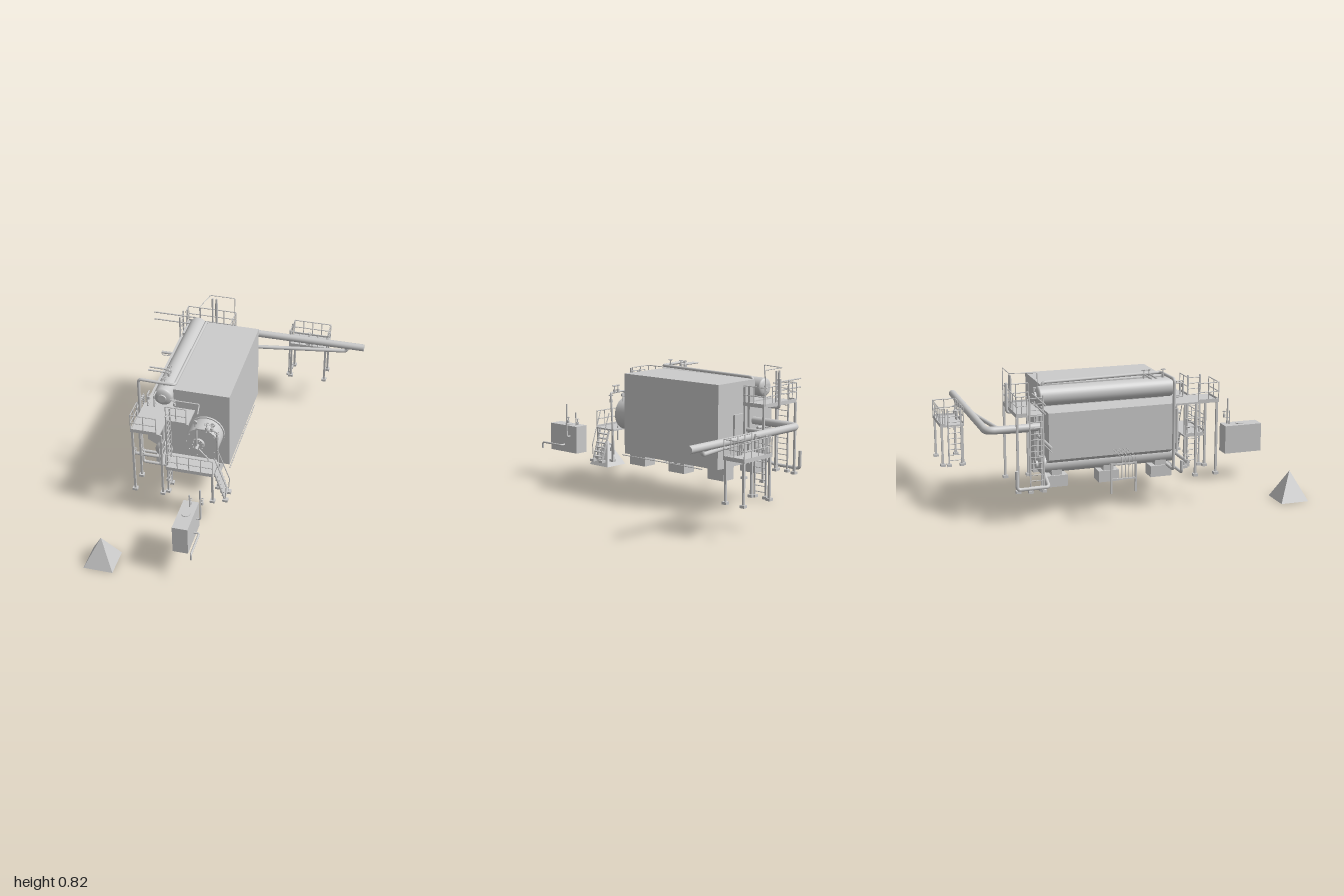
import * as THREE from 'three';

const mat = new THREE.MeshStandardMaterial({ color: 0xcccccc });
const V = (p) => new THREE.Vector3(...p);

export function createModel() {
  const root = new THREE.Group();
  let parent = root;

  // Opens a named group that receives the following parts
  const section = (name) => {
    parent = new THREE.Group();
    parent.name = name;
    root.add(parent);
  };
  const add = (name, geo) => {
    const m = new THREE.Mesh(geo, mat);
    m.name = name;
    parent.add(m);
    return m;
  };
  // Box from minimum and maximum corner
  const box = (name, x0, x1, y0, y1, z0, z1) =>
    add(name, new THREE.BoxGeometry(x1 - x0, y1 - y0, z1 - z0))
      .position.set((x0 + x1) / 2, (y0 + y1) / 2, (z0 + z1) / 2);
  // Straight round bar between two points
  const bar = (name, a, b, r, seg = 8) => {
    const A = V(a), B = V(b);
    const m = add(name, new THREE.CylinderGeometry(r, r, A.distanceTo(B), seg));
    m.position.copy(A).lerp(B, 0.5);
    m.quaternion.setFromUnitVectors(new THREE.Vector3(0, 1, 0), B.sub(A).normalize());
  };
  // Pipe run with rounded elbows and closed ends
  const pipe = (name, pts, r, bend = r * 2.2, seg = 10) => {
    const P = pts.map(V);
    let start = P[0];
    for (let i = 1; i < P.length; i++) {
      if (i === P.length - 1) { bar(name, start.toArray(), P[i].toArray(), r, seg); break; }
      const p = P[i].clone().add(P[i - 1].clone().sub(P[i]).setLength(bend));
      const q = P[i].clone().add(P[i + 1].clone().sub(P[i]).setLength(bend));
      bar(name, start.toArray(), p.toArray(), r, seg);
      add(name + 'Elbow', new THREE.TubeGeometry(new THREE.QuadraticBezierCurve3(p, P[i], q), 8, r, seg));
      start = q;
    }
  };
  // Handrail along a list of [x, z] corners above a deck
  const railing = (pts, y, h = 0.105) => {
    for (let i = 0; i < pts.length; i++) {
      const [x, z] = pts[i];
      bar('railPost', [x, y, z], [x, y + h, z], 0.003, 6);
      if (!i) continue;
      const [px, pz] = pts[i - 1];
      for (const f of [0.5, 1]) bar('handrail', [px, y + h * f, pz], [x, y + h * f, z], 0.003, 6);
      bar('railPost', [(x + px) / 2, y, (z + pz) / 2], [(x + px) / 2, y + h, (z + pz) / 2], 0.003, 6);
      const t = 0.002;
      box('toeBoard', Math.min(x, px) - t, Math.max(x, px) + t, y, y + 0.012, Math.min(z, pz) - t, Math.max(z, pz) + t);
    }
  };
  // Ladder facing x, spanning z0 to z1
  const ladder = (x, z0, z1, y0, y1) => {
    for (const z of [z0, z1]) {
      box('ladderStile', x - 0.004, x + 0.004, y0, y1, z - 0.004, z + 0.004);
      box('ladderFoot', x - 0.013, x + 0.013, 0.175, 0.19, z - 0.013, z + 0.013);
    }
    for (let y = y0 + 0.03; y < y1; y += 0.033) bar('rung', [x, y, z0], [x, y, z1], 0.0025, 6);
  };
  const leg = (x, z, top) => {
    box('leg', x - 0.006, x + 0.006, 0.18, top, z - 0.006, z + 0.006);
    box('legFoot', x - 0.014, x + 0.014, 0.175, 0.19, z - 0.014, z + 0.014);
  };
  // Small valve: body, stem and handwheel
  const valve = (x, y, z, s = 1) => {
    bar('valveBody', [x, y - 0.01 * s, z], [x, y + 0.012 * s, z], 0.01 * s);
    bar('valveStem', [x, y, z], [x, y + 0.035 * s, z], 0.003 * s, 6);
    const w = add('handwheel', new THREE.TorusGeometry(0.012 * s, 0.0025 * s, 6, 14));
    w.rotation.x = Math.PI / 2;
    w.position.set(x, y + 0.035 * s, z);
  };

  section('markerPyramid');
  const cone = add('pyramid', new THREE.ConeGeometry(0.085 * Math.SQRT2, 0.17, 4, 1).toNonIndexed());
  cone.geometry.computeVertexNormals();
  cone.geometry.rotateY(Math.PI / 4);
  cone.position.set(-0.525, 0.085, 0.915);

  // Casing with stepped roof and sloping lower side
  section('boiler');
  const outline = [[0.035, 0.25], [0.035, 0.735], [-0.295, 0.735], [-0.295, 0.61], [-0.46, 0.61], [-0.46, 0.345], [-0.29, 0.25]];
  const shell = add('casing', new THREE.ExtrudeGeometry(
    new THREE.Shape(outline.map((p) => new THREE.Vector2(...p))), { depth: 0.725, bevelEnabled: false }));
  shell.position.z = -0.51;
  const drum = (name, x, y, r, z0, z1) => {
    bar(name, [x, y, z0], [x, y, z1], r, 32);
    for (const [z, s] of [[z0, -1], [z1, 1]]) {
      const cap = add(name + 'End', new THREE.SphereGeometry(r, 32, 8, 0, Math.PI * 2, 0, Math.PI / 2));
      cap.rotation.x = s * Math.PI / 2;
      cap.scale.y = 0.35;
      cap.position.set(x, y, z);
      bar('manway', [x, y, z], [x, y, z + s * 0.027], r * 0.45, 20);
    }
  };
  drum('steamDrum', -0.352, 0.685, 0.055, -0.535, 0.23);
  drum('mudDrum', -0.36, 0.3, 0.05, -0.535, 0.235);
  for (const [z0, z1] of [[0.1, 0.225], [-0.21, -0.09], [-0.51, -0.39]]) {
    box('foundationBlock', -0.11, -0.02, 0.175, 0.25, z0, z1);
    box('foundationBlock', -0.41, -0.32, 0.175, 0.24, z0, z1);
    box('saddle', -0.4, -0.33, 0.235, 0.27, z0 + 0.03, z1 - 0.03);
  }
  for (const x of [-0.24, -0.19]) pipe('drainStub', [[x, 0.27, 0.15], [x, 0.225, 0.15]], 0.01);
  for (const z of [-0.2, -0.15, -0.1]) bar('drainPipe', [-0.25, 0.24, z], [0.04, 0.24, z], 0.003, 6);
  bar('drainHeader', [0.04, 0.24, -0.4], [0.04, 0.24, 0.23], 0.003, 6);

  section('burner');
  bar('windbox', [-0.1, 0.47, 0.2], [-0.1, 0.47, 0.33], 0.1, 32);
  bar('windboxFlange', [-0.1, 0.47, 0.215], [-0.1, 0.47, 0.225], 0.107, 32);
  bar('burnerPlate', [-0.12, 0.465, 0.33], [-0.12, 0.465, 0.345], 0.038, 24);
  bar('burnerGun', [-0.12, 0.465, 0.34], [-0.12, 0.465, 0.39], 0.01);
  for (let i = 0; i < 10; i++) {
    const a = (i / 10) * Math.PI * 2, c = Math.cos(a), s = Math.sin(a);
    bar('bolt', [-0.12 + c * 0.031, 0.465 + s * 0.031, 0.34], [-0.12 + c * 0.031, 0.465 + s * 0.031, 0.352], 0.004, 6);
    bar('rimBolt', [-0.1 + c * 0.09, 0.47 + s * 0.09, 0.33], [-0.1 + c * 0.09, 0.47 + s * 0.09, 0.336], 0.004, 6);
  }
  pipe('fuelPipe', [[-0.12, 0.48, 0.365], [-0.12, 0.6, 0.365], [0.0, 0.6, 0.365], [0.0, 0.22, 0.34]], 0.006);
  pipe('steamPipe', [[-0.11, 0.45, 0.36], [-0.055, 0.39, 0.36], [-0.055, 0.3, 0.36]], 0.004);
  for (const [x, y] of [[-0.06, 0.605], [-0.03, 0.605], [0.0, 0.55], [0.0, 0.25]]) valve(x, y, 0.362);
  for (const x of [-0.145, -0.04]) {
    bar('gaugeStem', [x, 0.54, 0.3], [x, 0.585, 0.3], 0.003, 6);
    bar('gauge', [x, 0.59, 0.295], [x, 0.59, 0.305], 0.012, 14);
  }

  // Front walkways, stair and ladder
  section('frontPlatforms');
  box('upperDeck', -0.47, -0.3, 0.6, 0.61, 0.215, 0.485);
  railing([[-0.468, 0.36], [-0.468, 0.483], [-0.32, 0.483]], 0.61);
  railing([[-0.30, 0.36], [-0.18, 0.36]], 0.61);
  box('upperBridge', -0.3, -0.17, 0.6, 0.61, 0.215, 0.36);
  box('lowerDeck', -0.315, 0.005, 0.365, 0.375, 0.34, 0.455);
  box('lowerDeckEdge', -0.27, 0.005, 0.365, 0.375, 0.455, 0.485);
  railing([[-0.315, 0.35], [-0.315, 0.453]], 0.375, 0.1);
  railing([[-0.27, 0.483], [-0.135, 0.483], [0.003, 0.483]], 0.375, 0.1);
  for (const z of [0.35, 0.475]) {
    leg(-0.462, z, 0.6);
    leg(-0.295, z, 0.6);
    leg(0.0, z, 0.37);
  }
  ladder(-0.27, 0.375, 0.45, 0.18, 0.72);
  for (const z of [0.375, 0.45]) {
    bar('stairStringer', [0.005, 0.37, z], [0.068, 0.18, z], 0.006, 6);
    bar('stairHandrail', [0.005, 0.475, z], [0.075, 0.28, z], 0.003, 6);
    bar('stairPost', [0.075, 0.28, z], [0.068, 0.19, z], 0.003, 6);
    box('stairFoot', 0.054, 0.084, 0.175, 0.19, z - 0.014, z + 0.014);
  }
  for (let i = 1; i < 7; i++) {
    const x = 0.005 + i * 0.009, y = 0.37 - i * 0.027;
    box('stairTread', x - 0.012, x + 0.012, y - 0.003, y + 0.003, 0.375, 0.45);
  }

  section('rearPlatform');
  box('rearDeck', -0.46, -0.15, 0.6, 0.61, -0.69, -0.54);
  railing([[-0.458, -0.63], [-0.458, -0.688], [-0.305, -0.688], [-0.152, -0.688], [-0.152, -0.542]], 0.61);
  for (const x of [-0.455, -0.155]) for (const z of [-0.685, -0.55]) leg(x, z, 0.6);
  ladder(-0.475, -0.62, -0.545, 0.18, 0.72);
  // Thin gantry hoop and twin vents
  pipe('gantry', [[-0.16, 0.61, -0.69], [-0.16, 0.815, -0.69], [-0.315, 0.815, -0.69], [-0.345, 0.815, -0.54], [-0.345, 0.73, -0.54]], 0.0025, 0.006, 6);
  for (const x of [-0.3, -0.275]) bar('ventPipe', [x, 0.6, -0.68], [x, 0.8, -0.68], 0.006);
  pipe('ventRiser', [[-0.28, 0.59, -0.5], [-0.28, 0.59, -0.7], [-0.28, 0.755, -0.7]], 0.009);
  for (const x of [-0.24, -0.2]) box('rearWallColumn', x - 0.008, x + 0.008, 0.25, 0.7, -0.525, -0.505);
  box('rearDoor', -0.19, -0.1, 0.42, 0.55, -0.522, -0.505);

  // Large outlet line and its bypass
  section('outletPiping');
  pipe('mainPipe', [[-0.29, 0.495, -0.5], [-0.29, 0.495, -0.82], [0.645, 0.495, -0.82]], 0.022, 0.045, 20);
  pipe('bypassPipe', [[-0.2, 0.455, -0.5], [-0.2, 0.455, -0.7], [0.54, 0.455, -0.82], [0.54, 0.49, -0.82]], 0.012, 0.024);

  section('pipePlatform');
  box('deck', 0.165, 0.405, 0.412, 0.422, -0.99, -0.85);
  railing([[0.167, -0.96], [0.167, -0.988], [0.285, -0.988], [0.403, -0.988], [0.403, -0.852], [0.285, -0.852], [0.167, -0.852]], 0.422, 0.1);
  for (const x of [0.175, 0.395]) for (const z of [-0.98, -0.86]) leg(x, z, 0.415);
  ladder(0.16, -0.945, -0.87, 0.18, 0.52);
  for (const x of [0.275, 0.29, 0.305]) bar('pipeSupport', [x, 0.42, -0.87], [x, 0.48, -0.87], 0.005);
  valve(0.285, 0.47, -0.88);

  section('sidePiping');
  // Feed line over the drum and down the side
  pipe('feedPipe', [[-0.29, 0.72, -0.5], [-0.29, 0.745, -0.5], [-0.29, 0.755, 0.2], [-0.505, 0.76, 0.2], [-0.505, 0.24, 0.2], [-0.38, 0.24, 0.2]], 0.009, 0.022);
  pipe('blowdownPipe', [[-0.53, 0.28, 0.28], [-0.345, 0.28, 0.28], [-0.345, 0.55, 0.28]], 0.01);
  pipe('drainLine', [[-0.48, 0.28, 0.26], [-0.48, 0.21, 0.26], [-0.265, 0.21, 0.26]], 0.009);
  pipe('rearBlowdown', [[-0.49, 0.31, -0.7], [-0.49, 0.205, -0.7], [-0.49, 0.205, -0.52], [-0.37, 0.26, -0.52]], 0.01);
  for (const z of [0.075, 0.105]) {
    pipe('reliefPipe', [[-0.352, 0.72, z], [-0.352, 0.765, z], [-0.475, 0.765, z]], 0.005);
    valve(-0.352, 0.755, z, 0.9);
  }
  valve(-0.352, 0.75, 0.19);
  for (const y of [0.66, 0.71]) bar('sideLine', [-0.65, y, -0.58], [-0.38, y, -0.58], 0.004, 6);
  bar('sidePipe', [-0.595, 0.45, -0.53], [-0.3, 0.45, -0.53], 0.009);
  bar('sideTube', [-0.595, 0.43, -0.53], [-0.3, 0.43, -0.53], 0.003, 6);
  // Water level column at the front of the drum
  for (const x of [-0.43, -0.39]) pipe('levelColumn', [[x, 0.72, 0.24], [x, 0.72, 0.28], [x, 0.64, 0.28], [x, 0.64, 0.24]], 0.004);
  for (const [x, y] of [[-0.42, 0.7], [-0.27, 0.68], [-0.52, 0.285], [-0.47, 0.285]]) valve(x, y, 0.28, 0.8);
  pipe('instrumentLine', [[-0.3, 0.69, 0.26], [-0.13, 0.69, 0.26], [-0.13, 0.65, 0.3]], 0.004);

  section('sampleRack');
  for (const z of [-0.205, -0.065]) box('rackPost', -0.626, -0.616, 0.175, 0.345, z - 0.005, z + 0.005);
  for (const y of [0.25, 0.335]) box('rackBeam', -0.626, -0.616, y, y + 0.008, -0.205, -0.065);
  for (let z = -0.145; z < -0.06; z += 0.02) {
    pipe('sampleLine', [[-0.62, 0.25, z], [-0.62, 0.375, z], [-0.45, 0.375, z]], 0.002, 0.006, 6);
  }

  section('chemicalTank');
  box('tank', -0.108, -0.02, 0.175, 0.347, 0.69, 0.925);
  bar('tankLid', [-0.064, 0.345, 0.8], [-0.064, 0.352, 0.8], 0.025, 20);
  pipe('tankPipe', [[-0.03, 0.22, 0.8], [0.01, 0.22, 0.8], [0.01, 0.22, 0.97], [0.01, 0.18, 0.97]], 0.006);
  pipe('tankRiser', [[-0.03, 0.28, 0.75], [0.005, 0.28, 0.75], [0.005, 0.49, 0.75]], 0.005);
  bar('levelPole', [-0.06, 0.34, 0.735], [-0.06, 0.43, 0.735], 0.004);
  valve(0.01, 0.38, 0.73, 0.8);
  valve(-0.06, 0.36, 0.72, 0.8);
  return root;
}
